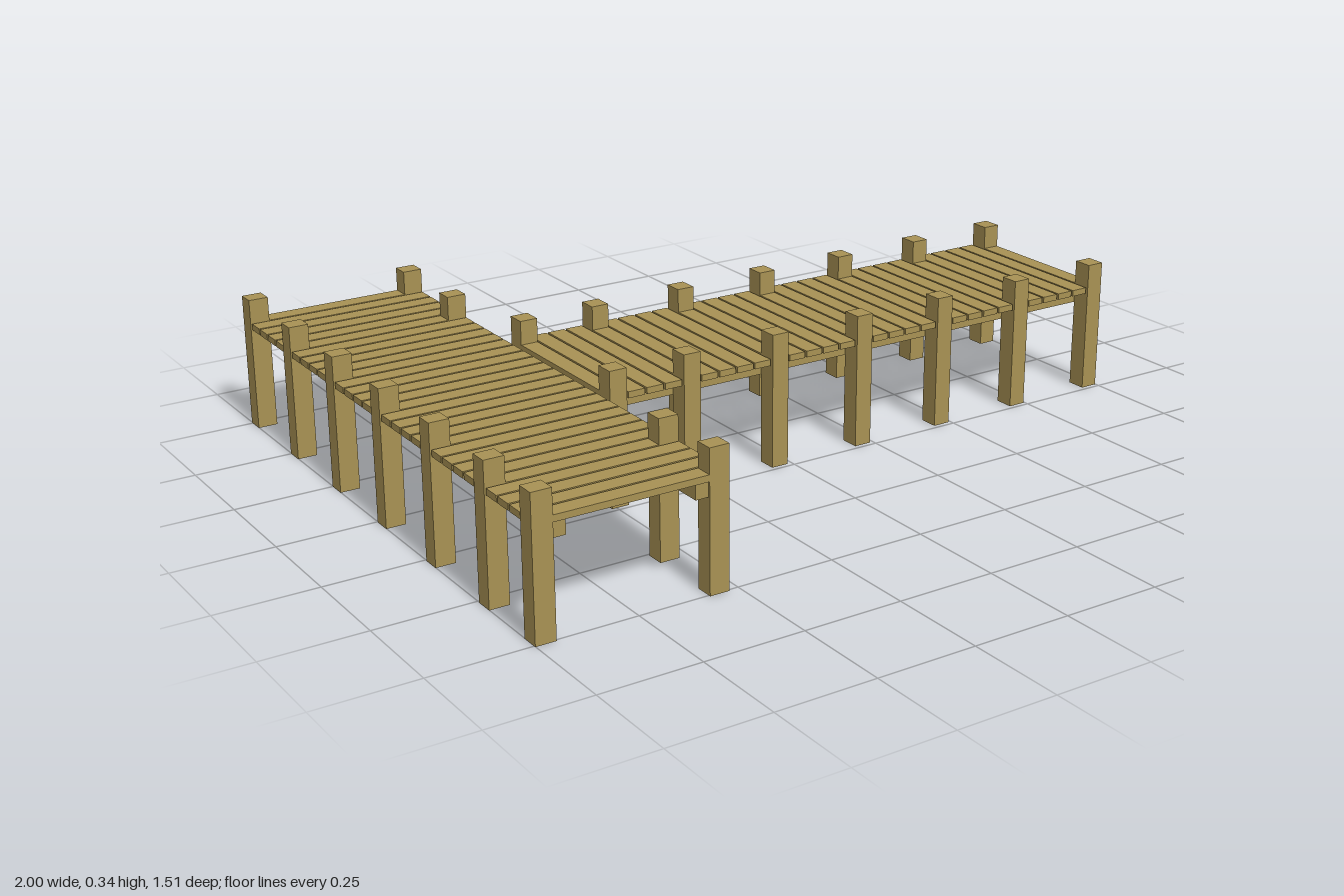
import * as THREE from 'three';

const wood = new THREE.MeshStandardMaterial({ color: 0xa89254 });
const COUNT = 30, PITCH = 0.0505, HALF = (COUNT - 1) * PITCH / 2;

function box(parent, name, size, pos) {
  const mesh = new THREE.Mesh(new THREE.BoxGeometry(...size), wood);
  mesh.name = name;
  mesh.position.set(...pos);
  parent.add(mesh);
}

// One straight walkway running along z, with planks laid across x
function walkway(name, rightPostRows) {
  const group = new THREE.Group();
  group.name = name;
  const row = i => -HALF + i * PITCH;

  // deck planks
  for (let i = 0; i < COUNT; i++) {
    box(group, 'plank', [0.472, 0.016, 0.045], [0, 0.274, row(i)]);
  }
  // posts and the long beams just inside them
  const leftPostRows = [0, 5, 10, 15, 20, 25, 29];
  for (const [side, rows] of [[-1, leftPostRows], [1, rightPostRows]]) {
    for (const i of rows) {
      box(group, 'post', [0.05, 0.343, 0.046], [side * 0.213, 0.1715, row(i)]);
    }
    box(group, 'beam', [0.032, 0.038, 2 * HALF + 0.035], [side * 0.172, 0.248, 0]);
  }
  return group;
}

export function createModel() {
  const model = new THREE.Group();
  model.name = 'dock';

  // cross walkway, open along the side where the pier joins
  const cross = walkway('crossWalkway', [0, 5, 25, 29]);
  cross.position.x = -0.763;
  model.add(cross);

  // pier reaching out along x
  const pier = walkway('pier', [0, 5, 10, 15, 20, 25, 29]);
  pier.rotation.y = -Math.PI / 2;
  pier.position.x = 0.243;
  model.add(pier);

  return model;
}
